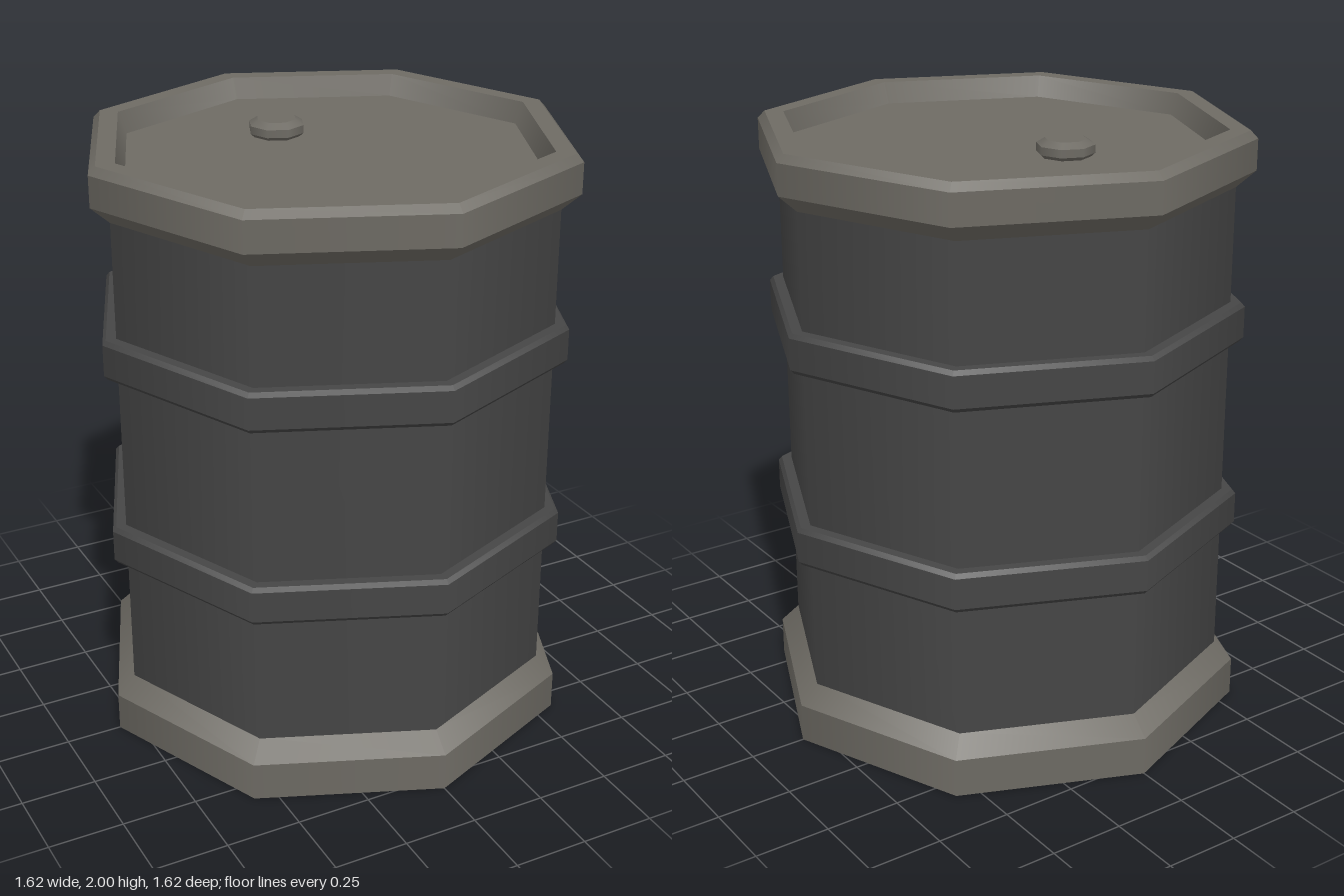
import * as THREE from 'three';
import { mergeGeometries } from 'three/addons/utils/BufferGeometryUtils.js';

const SIDES = 8;

// Octagonal lathe, smooth around the axis but with a hard edge at every profile point
function ringGeometry(profile) {
  const bands = [];
  for (let i = 0; i < profile.length - 1; i++) {
    const pair = [profile[i], profile[i + 1]].map(([r, y]) => new THREE.Vector2(r, y));
    bands.push(new THREE.LatheGeometry(pair, SIDES));
  }
  return mergeGeometries(bands);
}

export function createModel() {
  const group = new THREE.Group();
  const steel = new THREE.MeshStandardMaterial({ name: 'warm grey steel', color: 0x6e6b64 });
  const paint = new THREE.MeshStandardMaterial({ name: 'dark grey paint', color: 0x464646 });

  const add = (name, profile, material) => {
    const mesh = new THREE.Mesh(ringGeometry(profile), material);
    mesh.name = name;
    group.add(mesh);
    return mesh;
  };

  // Drum wall
  add('body', [[0.75, 0.18], [0.75, 1.83]], paint);

  // Two raised hoops with chamfered edges
  for (const [name, y] of [['lowerHoop', 0.71], ['upperHoop', 1.37]]) {
    add(name, [
      [0.745, y - 0.066], [0.785, y - 0.066], [0.797, y - 0.052],
      [0.797, y + 0.052], [0.785, y + 0.066], [0.745, y + 0.066],
    ], paint);
  }

  // Base rim with recessed underside
  add('base', [
    [0, 0.07], [0.665, 0.07], [0.69, 0], [0.812, 0], [0.812, 0.13], [0.748, 0.195],
  ], steel);

  // Top rim with sunken lid
  add('lid', [
    [0.748, 1.815], [0.812, 1.873], [0.812, 1.975], [0.788, 2],
    [0.724, 2], [0.697, 1.93], [0, 1.93],
  ], steel);

  // Filler cap
  const cap = add('fillerCap', [[0.08, 0], [0.093, 0.012], [0.093, 0.038], [0.066, 0.055], [0, 0.055]], steel);
  cap.position.set(-0.06, 1.93, -0.26);

  return group;
}
